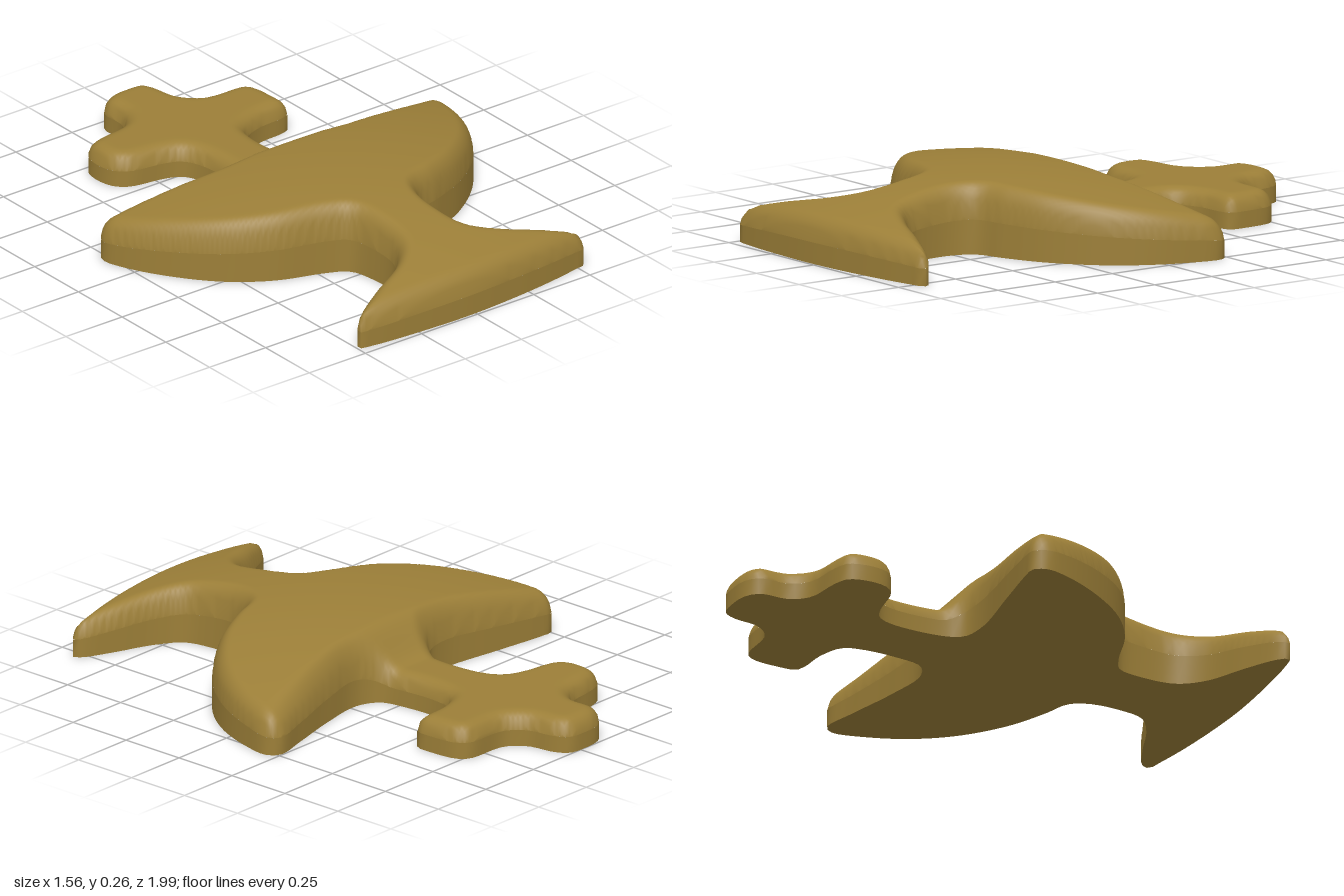
import * as THREE from 'three';

// Plan outline of the emblem as x, z pairs: cross, neck, bowl, stem and foot
const OUTLINE = [
  -.1, -.99, -.02, -1, .05, -.99, .08, -.94, .1, -.84, .16, -.78, .32, -.765, .355, -.73, .37, -.62, .365, -.555,
  .33, -.54, .22, -.53, .13, -.49, .11, -.42, .115, -.28, .14, -.18, .22, -.14, .4, -.165, .6, -.215, .74, -.245,
  .775, -.21, .76, -.1, .7, .06, .6, .2, .45, .32, .3, .39, .19, .43, .155, .5, .155, .62, .18, .71,
  .27, .775, .42, .835, .53, .89, .54, .92, .48, .935, .3, .965, 0, .99, -.25, .985, -.43, .97, -.495, .955,
  -.47, .92, -.35, .85, -.2, .775, -.13, .69, -.125, .55, -.15, .46, -.22, .42, -.4, .355, -.55, .25, -.68, .09,
  -.76, -.06, -.78, -.14, -.755, -.185, -.7, -.185, -.5, -.16, -.25, -.13, -.15, -.15, -.12, -.21, -.125, -.42,
  -.16, -.49, -.22, -.515, -.35, -.54, -.395, -.58, -.41, -.66, -.39, -.73, -.33, -.755, -.2, -.78, -.15, -.84, -.145, -.95,
];
const EDGE_RADIUS = 0.06;
const STEP = 0.0125;

// Thickness: a thin cross rising in a soft step to the domed bowl and foot
function thickness(x, z) {
  const dome = 0.265 - 0.16 * x * x - 0.178 * (z - 0.2) ** 2;
  const back = -0.13 - 0.15 * x * x;
  return THREE.MathUtils.lerp(0.12, dome, THREE.MathUtils.smoothstep(z, back - 0.1, back + 0.06));
}

// Surface height at a distance from the outline, rounded over at the edge
function height(x, z, distance) {
  const t = 1 - Math.min(distance / EDGE_RADIUS, 1);
  return thickness(x, z) * (0.5 + 0.5 * Math.sqrt(1 - t * t));
}

// Nearest outline point, its distance, and whether (x, z) is inside
function locate(x, z, loop) {
  let best = Infinity, px = 0, pz = 0, inside = false;
  for (let i = 0, j = loop.length - 1; i < loop.length; j = i++) {
    const a = loop[j], b = loop[i];
    const dx = b.x - a.x, dz = b.y - a.y;
    const t = THREE.MathUtils.clamp(((x - a.x) * dx + (z - a.y) * dz) / (dx * dx + dz * dz), 0, 1);
    const qx = a.x + t * dx, qz = a.y + t * dz;
    const d = (x - qx) ** 2 + (z - qz) ** 2;
    if (d < best) { best = d; px = qx; pz = qz; }
    if ((a.y > z) !== (b.y > z) && x < a.x + (z - a.y) / dz * dx) inside = !inside;
  }
  return { px, pz, distance: Math.sqrt(best), inside };
}

function buildGeometry(positions, indices) {
  const g = new THREE.BufferGeometry();
  g.setAttribute('position', new THREE.Float32BufferAttribute(positions, 3));
  g.setIndex(indices);
  g.computeVertexNormals();
  return g;
}

// Domed top: a fine grid whose border vertices are pulled onto the outline
function topGeometry(loop) {
  const nx = Math.ceil(1.62 / STEP), nz = Math.ceil(2.04 / STEP);
  const positions = [], indices = [], inside = [];
  for (let k = 0; k <= nz; k++) {
    for (let i = 0; i <= nx; i++) {
      let x = -0.81 + i * STEP, z = -1.02 + k * STEP;
      const p = locate(x, z, loop);
      if (!p.inside) { x = p.px; z = p.pz; }
      positions.push(x, height(x, z, p.inside ? p.distance : 0), z);
      inside.push(p.inside);
    }
  }
  for (let k = 0; k < nz; k++) {
    for (let i = 0; i < nx; i++) {
      const a = k * (nx + 1) + i, b = a + 1, c = a + nx + 1, d = c + 1;
      for (const tri of [[a, c, b], [b, c, d]]) {
        if (tri.some((v) => inside[v])) indices.push(...tri);
      }
    }
  }
  return buildGeometry(positions, indices);
}

// Upright side wall following the outline
function wallGeometry(loop) {
  const positions = [], indices = [], n = loop.length;
  loop.forEach((p, i) => {
    positions.push(p.x, 0, p.y, p.x, height(p.x, p.y, 0), p.y);
    const a = 2 * i, b = 2 * ((i + 1) % n);
    indices.push(a, a + 1, b, b, a + 1, b + 1);
  });
  return buildGeometry(positions, indices);
}

export function createModel() {
  const points = [];
  for (let i = 0; i < OUTLINE.length; i += 2) points.push(new THREE.Vector3(OUTLINE[i], OUTLINE[i + 1], 0));
  const curve = new THREE.CatmullRomCurve3(points, true, 'centripetal');
  const loop = curve.getSpacedPoints(300).slice(0, -1).map((p) => new THREE.Vector2(p.x, p.y));

  const material = new THREE.MeshStandardMaterial({ color: 0x9c7f38 });
  const group = new THREE.Group();
  group.name = 'chaliceWithCross';
  const add = (name, geometry) => {
    const mesh = new THREE.Mesh(geometry, material);
    mesh.name = name;
    group.add(mesh);
  };
  add('domedTop', topGeometry(loop));
  add('sideWall', wallGeometry(loop));
  // Flat underside
  add('underside', new THREE.ShapeGeometry(new THREE.Shape(loop)).rotateX(Math.PI / 2));
  return group;
}
